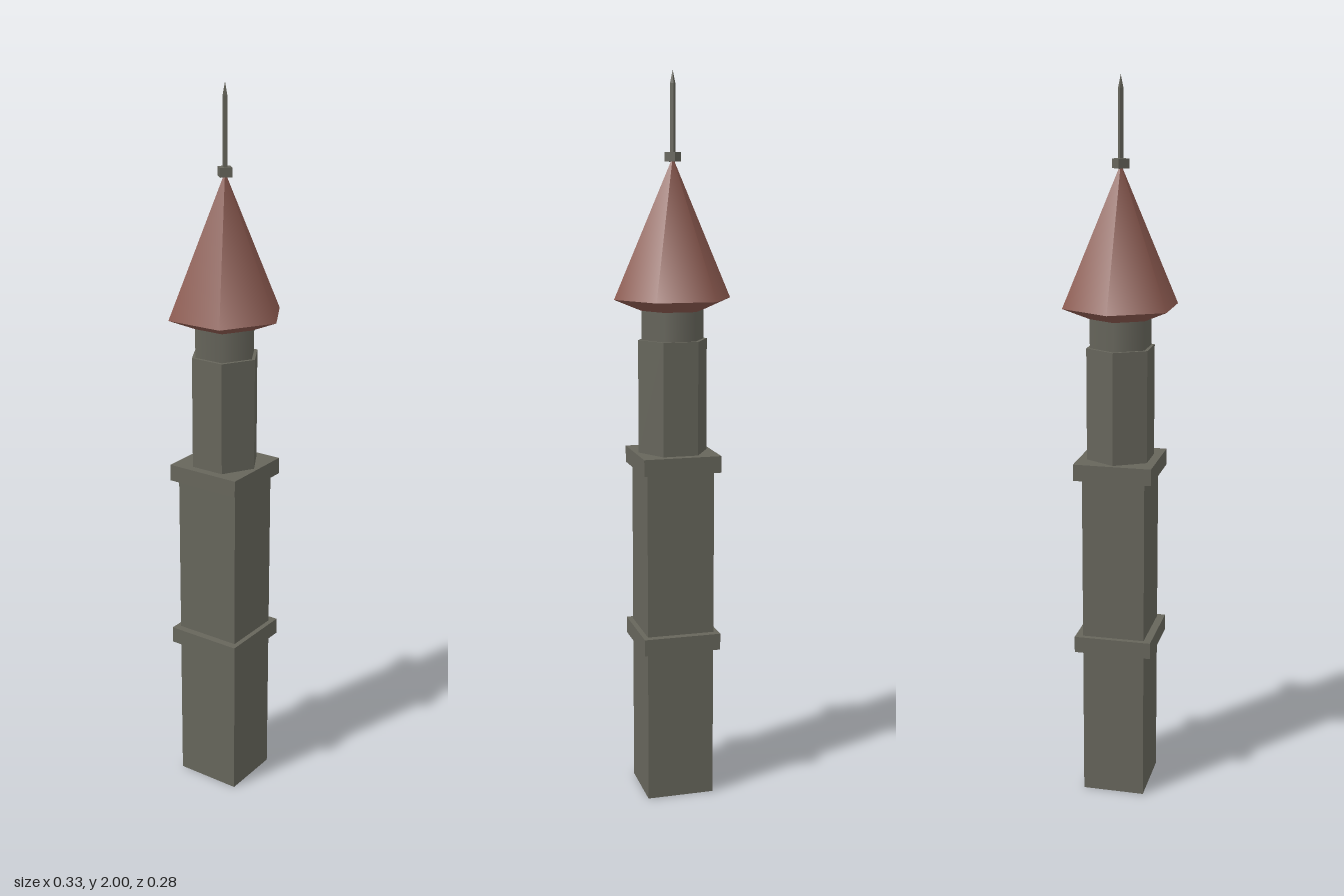
import * as THREE from 'three';

export function createModel() {
  const tower = new THREE.Group();
  tower.name = 'tower';

  const stone = new THREE.MeshStandardMaterial({ color: 0x66655b, side: THREE.DoubleSide });
  stone.name = 'stone';
  const tile = new THREE.MeshStandardMaterial({ color: 0x8c5a50, side: THREE.DoubleSide });
  tile.name = 'roof tile';

  function add(name, geometry, material, y) {
    const mesh = new THREE.Mesh(geometry, material);
    mesh.name = name;
    mesh.position.y = y;
    tower.add(mesh);
    return mesh;
  }

  // Upright prism or frustum between two heights, with a corner on the +x axis
  function prism(name, rTop, rBottom, y0, y1, sides, material, { flat = false, open = false } = {}) {
    let geometry = new THREE.CylinderGeometry(rTop, rBottom, y1 - y0, sides, 1, open, Math.PI / 2);
    if (flat) {
      geometry = geometry.toNonIndexed();
      geometry.computeVertexNormals();
    }
    return add(name, geometry, material, (y0 + y1) / 2);
  }

  // Square shaft, open underneath
  const shaft = new THREE.BoxGeometry(0.188, 0.96, 0.174);
  const index = Array.from(shaft.index.array);
  index.splice(18, 6); // drop the bottom face
  shaft.setIndex(index);
  shaft.clearGroups();
  add('shaft', shaft, stone, 0.48);

  // Projecting stone bands
  for (const [name, y] of [['lowerBand', 0.453], ['upperBand', 0.957]]) {
    add(name, new THREE.BoxGeometry(0.216, 0.046, 0.216), stone, y);
  }

  // Six-sided belfry and the narrower neck under the roof
  prism('belfry', 0.097, 0.097, 0.975, 1.29, 6, stone, { flat: true });
  prism('neck', 0.087, 0.087, 1.27, 1.375, 6, stone);

  // Spire roof with its sloping underside
  prism('roof', 0, 0.163, 1.4, 1.775, 6, tile, { open: true });
  prism('eaves', 0.163, 0.085, 1.368, 1.4, 6, tile, { open: true });

  // Finial: collar, rod and point
  prism('finialCollar', 0.023, 0.023, 1.763, 1.788, 4, stone, { flat: true });
  prism('finialRod', 0.0075, 0.0075, 1.78, 1.965, 4, stone, { flat: true });
  prism('finialPoint', 0, 0.0075, 1.965, 2, 4, stone, { flat: true, open: true });

  return tower;
}
